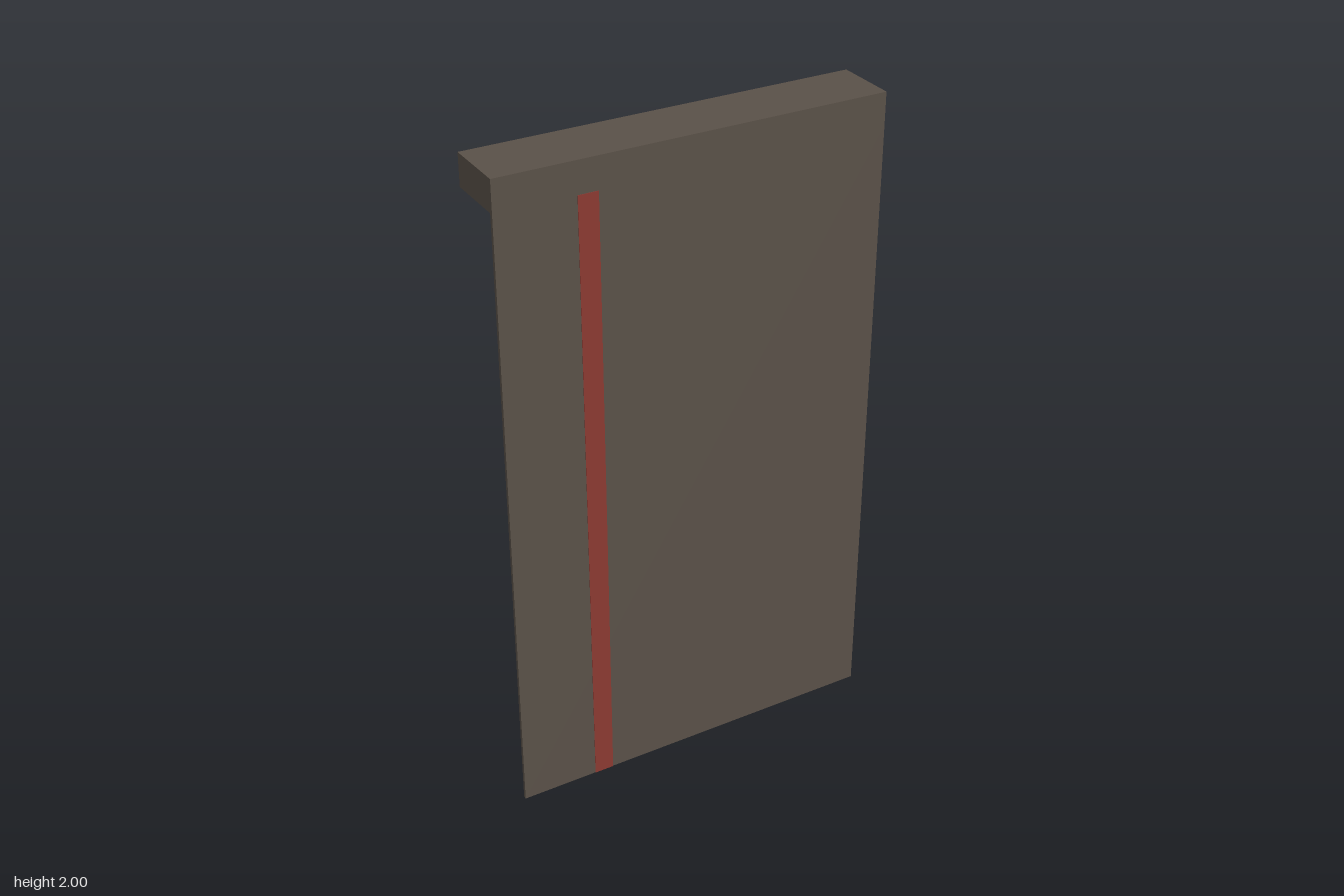
import * as THREE from 'three';

// Box given by its minimum and maximum corners
function block(name, color, min, max) {
  const size = max.map((v, i) => v - min[i]);
  const mesh = new THREE.Mesh(
    new THREE.BoxGeometry(...size),
    new THREE.MeshStandardMaterial({ color })
  );
  mesh.position.set(...max.map((v, i) => (v + min[i]) / 2));
  mesh.name = name;
  return mesh;
}

export function createModel() {
  const group = new THREE.Group();
  group.name = 'hangingBlind';
  const fabric = 0x5a5148, red = 0x8b3a32;
  const halfWidth = 0.585, railBottom = 1.905, front = 0.096;

  // Top rail, reaching backwards from the cloth
  group.add(block('topRail', fabric, [-halfWidth, railBottom, -0.097], [halfWidth, 2, front]));

  // Thin hanging cloth, flush with the rail's front
  group.add(block('cloth', fabric, [-halfWidth, 0, 0.085], [halfWidth, railBottom, front]));

  // Vertical red stripe, just proud of the cloth
  group.add(block('stripe', red, [-0.35, 0, 0.087], [-0.29, railBottom, 0.0975]));

  return group;
}
